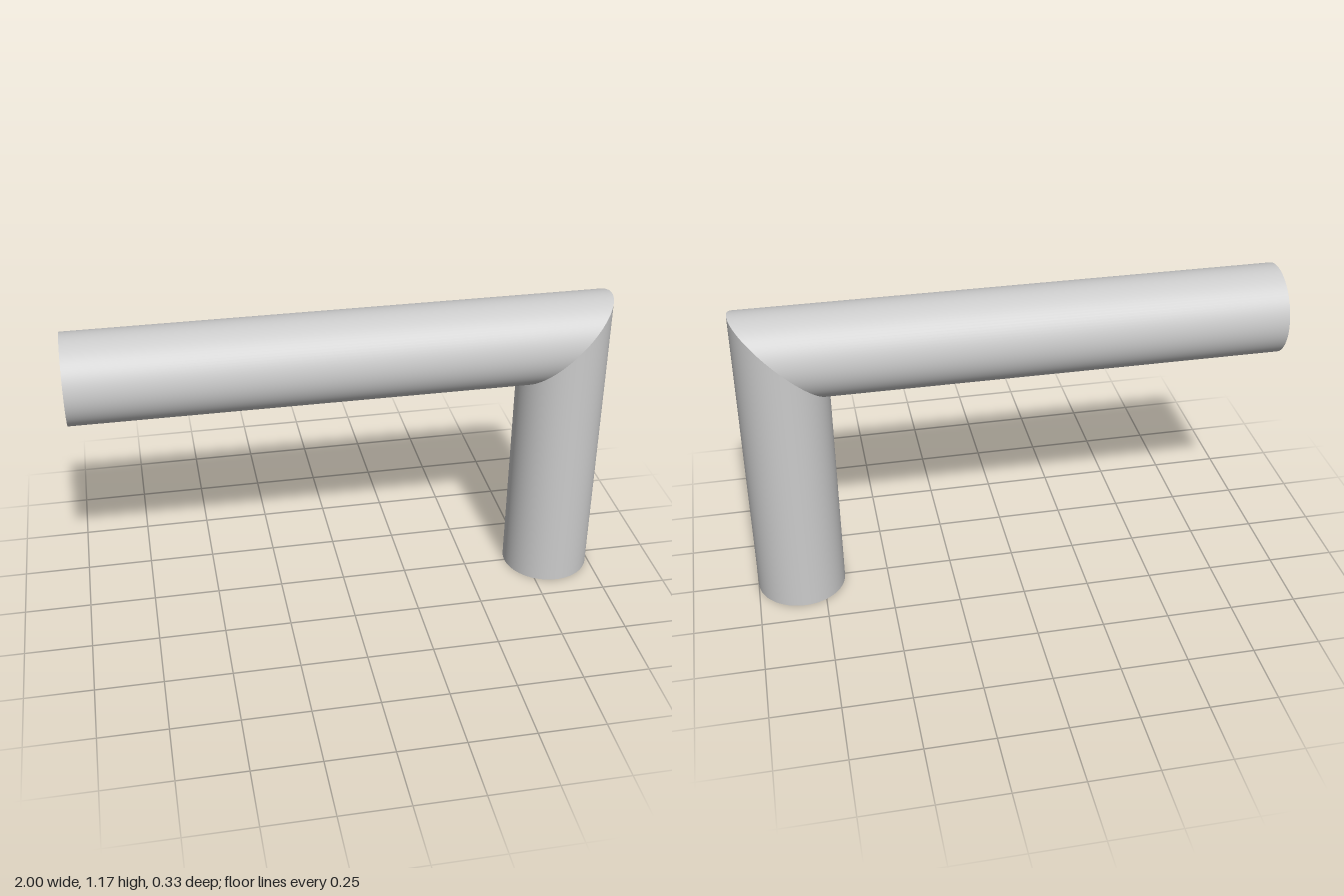
import * as THREE from 'three';
import { mergeGeometries } from 'three/addons/utils/BufferGeometryUtils.js';

const RADIUS = 1 / 6;
const SIDES = 96;

// Round bar along +y with a flat closed base and a far end cut at 45 degrees (longer towards +x)
function mitredBar(length) {
  const wall = new THREE.CylinderGeometry(RADIUS, RADIUS, length, SIDES, 1, true);
  wall.translate(0, length / 2, 0);
  const p = wall.attributes.position;
  for (let i = 0; i < p.count; i++) {
    if (p.getY(i) > length / 2) p.setY(i, length + p.getX(i));
  }
  const base = new THREE.CircleGeometry(RADIUS, SIDES).rotateX(Math.PI / 2);
  return mergeGeometries([wall, base]);
}

export function createModel() {
  const group = new THREE.Group();
  group.name = 'mitredElbow';
  const material = new THREE.MeshStandardMaterial({ color: 0xcccccc });
  const cornerX = 1 - RADIUS;
  const cornerY = 1;

  // Upright bar
  const post = new THREE.Mesh(mitredBar(cornerY), material);
  post.name = 'post';
  post.position.set(cornerX, 0, 0);

  // Horizontal bar: a half turn about the diagonal swaps x and y, so both cuts meet
  const arm = new THREE.Mesh(mitredBar(cornerX + 1), material);
  arm.name = 'arm';
  arm.quaternion.setFromAxisAngle(new THREE.Vector3(1, 1, 0).normalize(), Math.PI);
  arm.position.set(-1, cornerY, 0);

  group.add(post, arm);
  return group;
}
